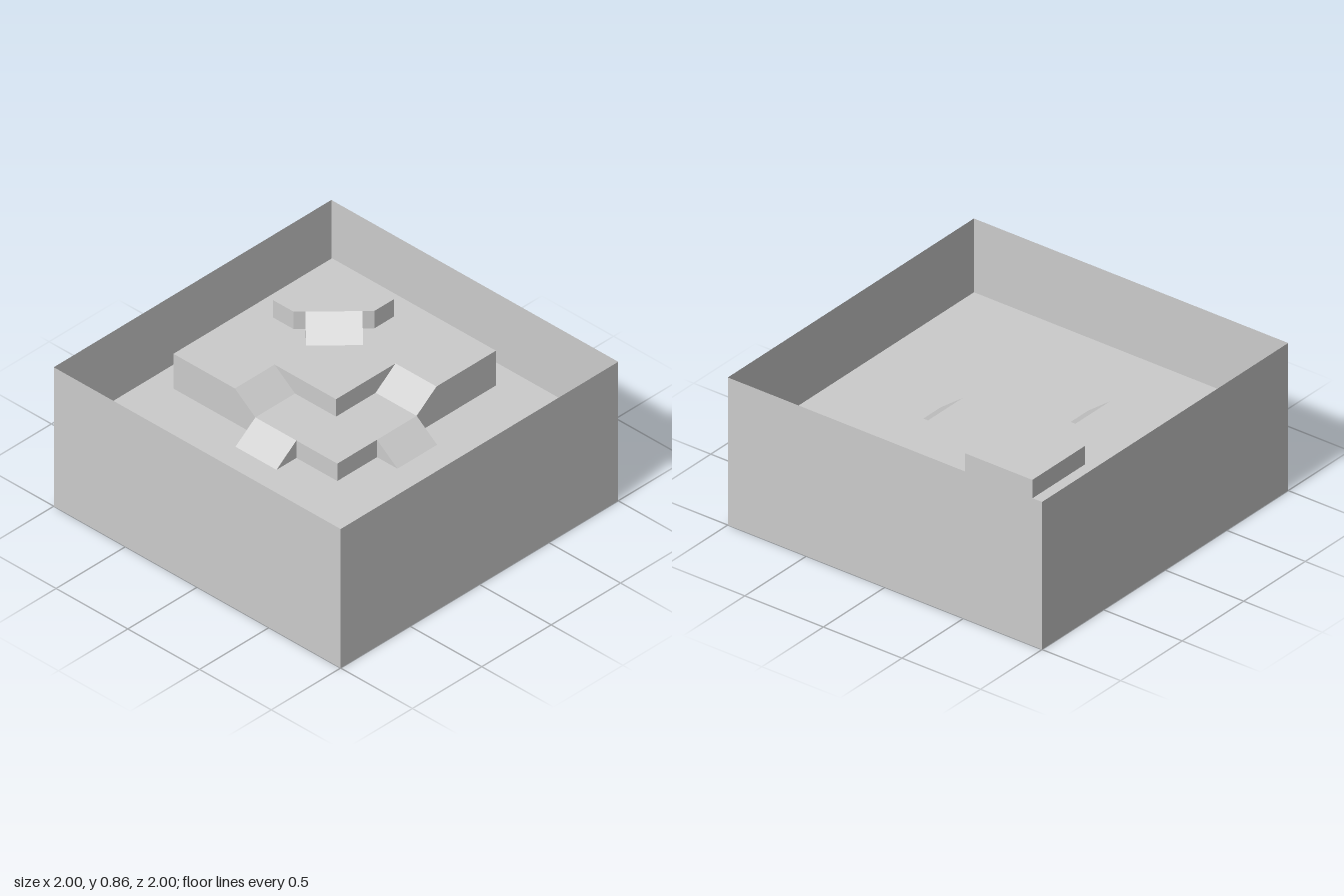
import * as THREE from 'three';

const U = 1 / 7; // grid unit: the square box is 14 units wide
const FLOOR = 3, LOW = 3.75, HIGH = 4.5, TOP = 5.25, RIM = 6;

const material = new THREE.MeshStandardMaterial({
  color: 0xcccccc, side: THREE.DoubleSide, flatShading: true,
});

// Horizontal sheet from an [x, z] outline, with an optional opening
function deck(name, outline, y, opening) {
  const points = (list) => list.map(([x, z]) => new THREE.Vector2(x, -z));
  const shape = new THREE.Shape(points(outline));
  if (opening) shape.holes.push(new THREE.Path(points(opening)));
  const geometry = new THREE.ShapeGeometry(shape).rotateX(-Math.PI / 2).translate(0, y, 0);
  return finish(name, geometry);
}

// Upright sheet along a path of [x, z, bottom, top]
function curtain(name, path) {
  const quads = [];
  for (let i = 0; i + 1 < path.length; i++) {
    const [ax, az, a0, a1] = path[i], [bx, bz, b0, b1] = path[i + 1];
    quads.push([[ax, a0, az], [bx, b0, bz], [bx, b1, bz], [ax, a1, az]]);
  }
  return panels(name, quads);
}

// Sloping sheet from a top edge to a bottom edge
function ramp(name, [t1, t2], high, [b1, b2], low) {
  return panels(name, [[
    [t1[0], high, t1[1]], [t2[0], high, t2[1]], [b2[0], low, b2[1]], [b1[0], low, b1[1]],
  ]]);
}

// Four-cornered faces, dropping triangles that have collapsed
function panels(name, quads) {
  const position = [];
  const same = (p, q) => p.every((v, i) => v === q[i]);
  for (const [a, b, c, d] of quads) {
    for (const [p, q, r] of [[a, b, c], [a, c, d]]) {
      if (!same(p, q) && !same(q, r) && !same(r, p)) position.push(...p, ...q, ...r);
    }
  }
  const geometry = new THREE.BufferGeometry();
  geometry.setAttribute('position', new THREE.Float32BufferAttribute(position, 3));
  geometry.computeVertexNormals();
  return finish(name, geometry);
}

function finish(name, geometry) {
  const mesh = new THREE.Mesh(geometry.scale(U, U, U), material);
  mesh.name = name;
  return mesh;
}

export function createModel() {
  const model = new THREE.Group();
  model.name = 'walledTerrace';

  // Outer walls, open above and below
  model.add(curtain('outerWalls',
    [[-7, 7], [7, 7], [7, -7], [-7, -7], [-7, 7]].map(([x, z]) => [x, z, 0, RIM])));

  // Floor, open beneath the hollow terraces
  model.add(deck('floor', [[-7, -7], [7, -7], [7, 7], [-7, 7]], FLOOR, [
    [-6, -6], [2, -6], [2, -2], [3, -2], [3, 0], [2, 0],
    [2, 2], [0, 2], [0, 3], [-2, 3], [-2, 2], [-6, 2],
  ]));

  // Corners of the diagonal ramp on the top terrace
  const s = Math.SQRT1_2;
  const t1 = [-3 + s, -3 - s], t2 = [-3 - s, -3 + s];
  const b1 = [-3 + 2 * s, -3], b2 = [-3, -3 + 2 * s];
  const topCorners = [[-2, -4], [-2, -5], [-5, -5], [-5, -2], [-4, -2]];

  // Terrace decks
  model.add(
    deck('lowerTerrace', [[0, -2], [2, -2], [2, 2], [-2, 2], [-2, 0], [0, 0]], LOW),
    deck('upperTerrace',
      [[-6, -6], [2, -6], [2, -3], [0, -3], [0, 0], [-3, 0], [-3, 2], [-6, 2]], HIGH,
      [b1, t1, ...topCorners, t2, b2]),
    deck('topTerrace', topCorners, TOP),
  );

  // Terrace sides, including the cheeks of the ramps
  model.add(
    curtain('upperTerraceSides', [
      [3, -2, FLOOR, FLOOR], [2, -2, FLOOR, LOW], [2, -3, FLOOR, HIGH], [2, -6, FLOOR, HIGH],
      [-6, -6, FLOOR, HIGH], [-6, 2, FLOOR, HIGH], [-3, 2, FLOOR, HIGH], [-2, 2, FLOOR, LOW],
      [-2, 3, FLOOR, FLOOR],
    ]),
    curtain('lowerTerraceSides', [
      [3, 0, FLOOR, FLOOR], [2, 0, FLOOR, LOW], [2, 2, FLOOR, LOW], [0, 2, FLOOR, LOW],
      [0, 3, FLOOR, FLOOR],
    ]),
    curtain('stepBetweenTerraces', [
      [0, -3, HIGH, HIGH], [0, -2, LOW, HIGH], [0, 0, LOW, HIGH], [-2, 0, LOW, HIGH],
      [-3, 0, HIGH, HIGH],
    ]),
    curtain('topTerraceSides', [
      [...b1, HIGH, HIGH],
      ...[t1, ...topCorners, t2].map((p) => [...p, HIGH, TOP]),
      [...b2, HIGH, HIGH],
    ]),
  );

  // Ramps
  model.add(
    ramp('topRamp', [t1, t2], TOP, [b1, b2], HIGH),
    ramp('upperBackRamp', [[0, -3], [2, -3]], HIGH, [[0, -2], [2, -2]], LOW),
    ramp('upperFrontRamp', [[-3, 0], [-3, 2]], HIGH, [[-2, 0], [-2, 2]], LOW),
    ramp('lowerSideRamp', [[2, -2], [2, 0]], LOW, [[3, -2], [3, 0]], FLOOR),
    ramp('lowerFrontRamp', [[-2, 2], [0, 2]], LOW, [[-2, 3], [0, 3]], FLOOR),
  );

  return model;
}
